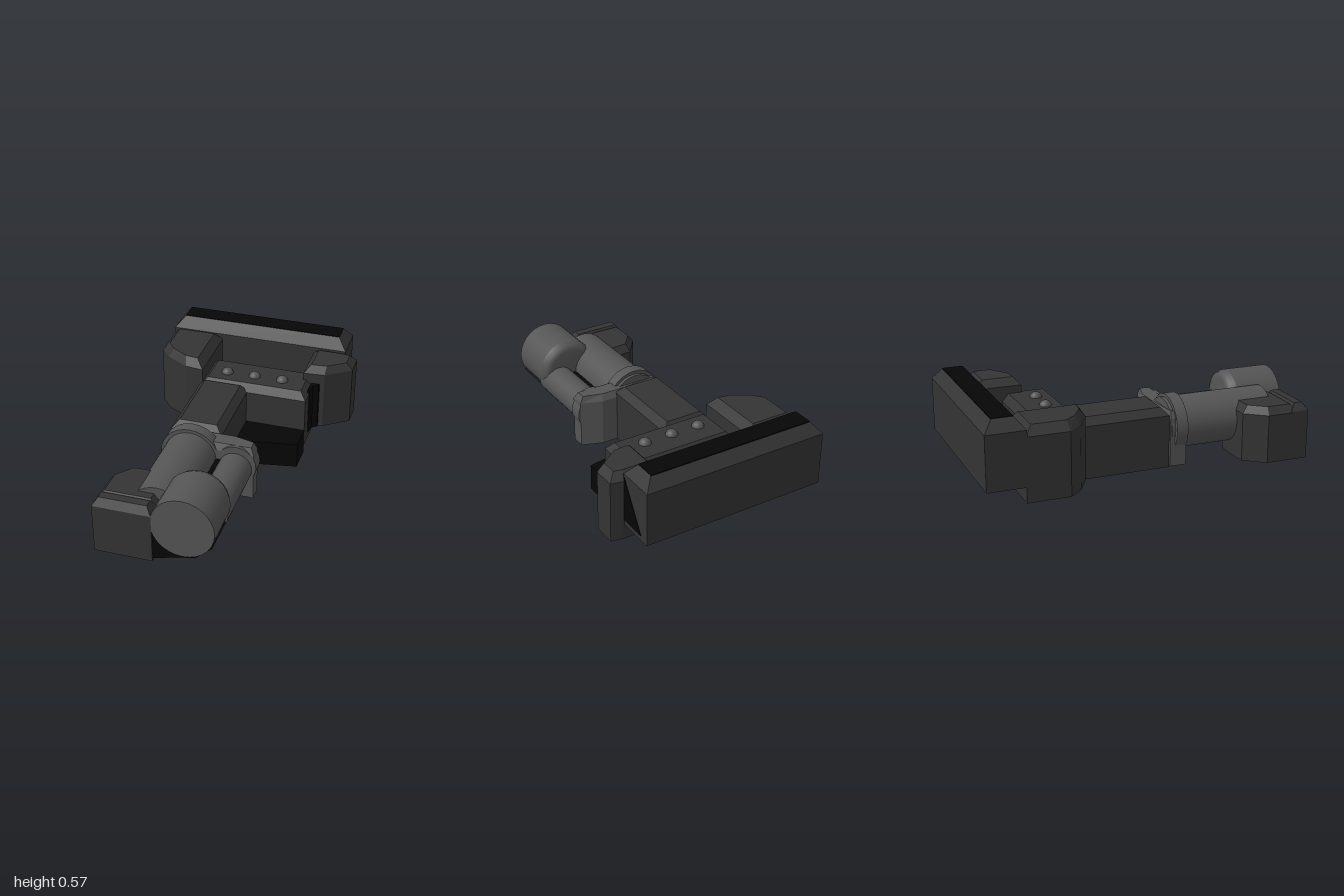
import * as THREE from 'three';

const mat = (name, color) => {
  const m = new THREE.MeshStandardMaterial({ color });
  m.name = name;
  return m;
};

export function createModel() {
  const group = new THREE.Group();
  const dark = mat('dark grey', 0x343434);
  const grey = mat('mid grey', 0x555555);
  const black = mat('black', 0x060606);

  const add = (name, geometry, material, x = 0, y = 0, z = 0) => {
    const mesh = new THREE.Mesh(geometry, material);
    mesh.name = name;
    mesh.position.set(x, y, z);
    group.add(mesh);
    return mesh;
  };

  // Upright prism over an x,z outline, with an optional bevel round its top
  function prism(outline, y0, y1, drop = 0, inset = 0) {
    const pts = outline.map(([x, z]) => new THREE.Vector2(x, -z));
    if (THREE.ShapeUtils.area(pts) < 0) pts.reverse();
    const box = new THREE.Box2().setFromPoints(pts);
    const c = box.getCenter(new THREE.Vector2());
    const s = box.getSize(new THREE.Vector2());
    const loop = (y, d) => pts.map(p => [
      c.x + (p.x - c.x) * (1 - 2 * d / s.x), y,
      -(c.y + (p.y - c.y) * (1 - 2 * d / s.y))]);
    const loops = [loop(y0, 0), loop(y1 - drop, 0)];
    if (drop) loops.push(loop(y1, inset));
    const v = [];
    const n = pts.length;
    for (let k = 0; k + 1 < loops.length; k++) {
      const a = loops[k], b = loops[k + 1];
      for (let i = 0; i < n; i++) {
        const j = (i + 1) % n;
        v.push(...a[i], ...a[j], ...b[j], ...a[i], ...b[j], ...b[i]);
      }
    }
    const top = loops[loops.length - 1];
    for (const [i, j, k] of THREE.ShapeUtils.triangulateShape(pts, [])) {
      v.push(...top[i], ...top[j], ...top[k]);
      v.push(...loops[0][k], ...loops[0][j], ...loops[0][i]);
    }
    const g = new THREE.BufferGeometry();
    g.setAttribute('position', new THREE.Float32BufferAttribute(v, 3));
    g.computeVertexNormals();
    return g;
  }
  const rect = (x0, x1, z0, z1) => [[x0, z0], [x1, z0], [x1, z1], [x0, z1]];

  // Flat outline extruded along z from its own origin
  const slab = (outline, depth) => new THREE.ExtrudeGeometry(
    new THREE.Shape(outline.map(p => new THREE.Vector2(...p))), { depth, bevelEnabled: false });

  // Cylinder lying along z
  const tube = (name, r, x, y, z0, z1) => add(name,
    new THREE.CylinderGeometry(r, r, z1 - z0, 28).rotateX(Math.PI / 2),
    grey, x, y, (z0 + z1) / 2);

  // Rear cross bar with a black strip along its top and a black corner on its end
  add('rearBar', prism(rect(-0.6, 0.523, -1, -0.77), 0.18, 0.565, 0.067, 0.055), dark);
  add('rearBarStrip', prism(rect(-0.545, 0.468, -0.947, -0.825), 0.562, 0.568), black);
  add('rearBarEndCorner', slab([[0.78, 0.48], [0.78, 0.21], [0.945, 0.21]], 0.006)
    .rotateY(Math.PI / 2), black, 0.52);

  // Side pods
  add('rightPod', prism([[-0.6, -0.78], [-0.6, -0.53], [-0.53, -0.45], [-0.39, -0.37],
    [-0.28, -0.355], [-0.28, -0.78]], 0.09, 0.512, 0.052, 0.045), dark);
  add('leftPod', prism([[0.32, -0.78], [0.53, -0.78], [0.6, -0.765], [0.6, -0.63],
    [0.45, -0.52], [0.32, -0.51]], 0.09, 0.5, 0.045, 0.04), dark);
  add('leftPodFillet', prism([[0.37, -0.53], [0.425, -0.53], [0.42, -0.505],
    [0.39, -0.48], [0.383, -0.42], [0.37, -0.42]], 0.09, 0.39), black);

  // Body, recess behind it and handle
  add('body', prism(rect(-0.29, 0.38, -0.63, -0.33), 0.05, 0.41, 0.045, 0.04), dark);
  add('recess', prism(rect(-0.285, 0.335, -0.79, -0.6), 0.05, 0.3), black);
  add('handle', prism(rect(-0.295, 0.01, -0.37, 0.18), 0.05, 0.408, 0.045, 0.04), dark);
  for (let i = 0; i < 3; i++) {
    add('button', new THREE.SphereGeometry(0.037, 16, 8, 0, Math.PI * 2, 0, Math.PI / 2),
      grey, -0.15 + i * 0.175, 0.405, -0.46);
  }

  // Low guard beside the handle
  add('guard', prism([[0, -0.335], [0.38, -0.335], [0.38, -0.165], [0.13, -0.12],
    [0.09, -0.1], [0.07, -0.045], [0, -0.04]], 0, 0.16), black);

  // Collar holding both tubes
  add('collar', prism([[-0.29, 0.19], [-0.02, 0.16], [0.11, 0.16], [0.235, 0.205],
    [0.235, 0.29], [-0.29, 0.29]], 0.05, 0.38, 0.04, 0.02), grey);
  tube('largeCollarRing', 0.175, -0.145, 0.27, 0.22, 0.29);
  tube('smallCollarRing', 0.12, 0.13, 0.26, 0.205, 0.29);

  // Tubes with a dark filler between them
  tube('largeTube', 0.155, -0.142, 0.27, 0.2, 0.85);
  tube('smallTube', 0.098, 0.128, 0.24, 0.25, 0.75);
  add('tubeFiller', prism(rect(-0.01, 0.05, 0.28, 0.7), 0.18, 0.28), black);

  // Wide front barrel with a rounded rear shoulder
  const profile = [[0, -0.33], [0.135, -0.33], [0.165, -0.315], [0.18, -0.28]]
    .map(p => new THREE.Vector2(...p));
  add('barrelShoulder', new THREE.LatheGeometry(profile, 28).rotateX(Math.PI / 2),
    grey, 0.052, 0.303, 1);
  tube('barrel', 0.18, 0.052, 0.303, 0.72, 1);

  // Dark bracket under the barrel
  add('barrelBracket', slab([[-0.13, 0.06], [0.03, 0.105], [0.12, 0.12], [0.215, 0.205],
    [0.15, 0.25], [-0.13, 0.25]], 0.35), black, 0, 0, 0.64);

  // Side block at the front, with a narrow groove across it
  add('sideBlockRear', prism([[-0.455, 0.93], [-0.455, 0.74], [-0.36, 0.62], [-0.28, 0.615],
    [-0.12, 0.615], [-0.12, 0.93]], 0.05, 0.385, 0.045, 0.035), dark);
  add('sideBlockFront', prism(rect(-0.455, -0.12, 0.89, 1), 0.05, 0.39, 0.045, 0.03), dark);

  return group;
}
